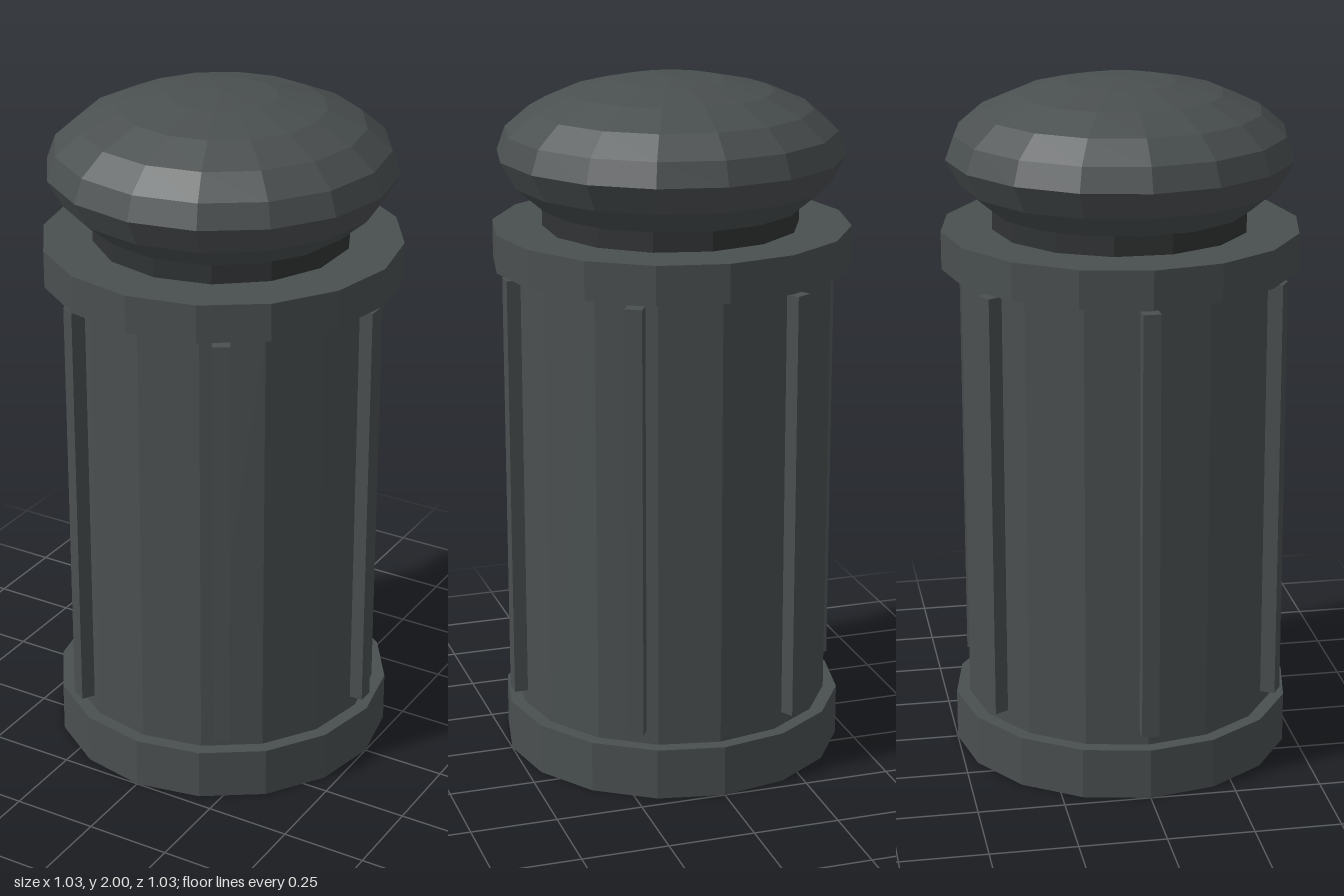
import * as THREE from 'three';

const SIDES = 16;

export function createModel() {
  const model = new THREE.Group();
  model.name = 'bollard';

  const iron = new THREE.MeshStandardMaterial({ color: 0x4a4f50, flatShading: true });
  iron.name = 'grey iron';
  const darkIron = new THREE.MeshStandardMaterial({ color: 0x303334, flatShading: true });
  darkIron.name = 'dark iron';

  const add = (name, geometry, material, parent = model) => {
    const mesh = new THREE.Mesh(geometry, material);
    mesh.name = name;
    parent.add(mesh);
    return mesh;
  };
  const drum = (name, radius, bottom, top, material = iron, sides = SIDES) => {
    const mesh = add(name, new THREE.CylinderGeometry(radius, radius, top - bottom, sides), material);
    mesh.position.y = (bottom + top) / 2;
  };

  // Stacked drums
  drum('base', 0.5, 0, 0.15);
  drum('body', 0.46, 0.15, 1.465);
  drum('collar', 0.517, 1.465, 1.575);
  drum('neck', 0.37, 1.575, 1.65, darkIron, 14);

  // Rounded cap: tapered underside and a flattened dome of five rings
  const profile = [[0, 1.632], [0.375, 1.632], [0.455, 1.7]].map(([r, y]) => new THREE.Vector2(r, y));
  for (let i = 0; i <= 5; i++) {
    const a = (i / 5) * Math.PI / 2;
    profile.push(new THREE.Vector2(i === 5 ? 0 : 0.5 * Math.cos(a), 1.78 + 0.22 * Math.sin(a)));
  }
  add('cap', new THREE.LatheGeometry(profile, SIDES), iron);

  // Six upright ribs around the body
  const ribs = new THREE.Group();
  ribs.name = 'ribs';
  model.add(ribs);
  const ribShape = new THREE.BoxGeometry(0.07, 1.255, 0.05);
  for (let i = 0; i < 6; i++) {
    const a = (i * Math.PI) / 3;
    const rib = add('rib', ribShape, iron, ribs);
    rib.position.set(0.46 * Math.cos(a), 0.818, 0.46 * Math.sin(a));
    rib.rotation.y = -a;
  }
  return model;
}
